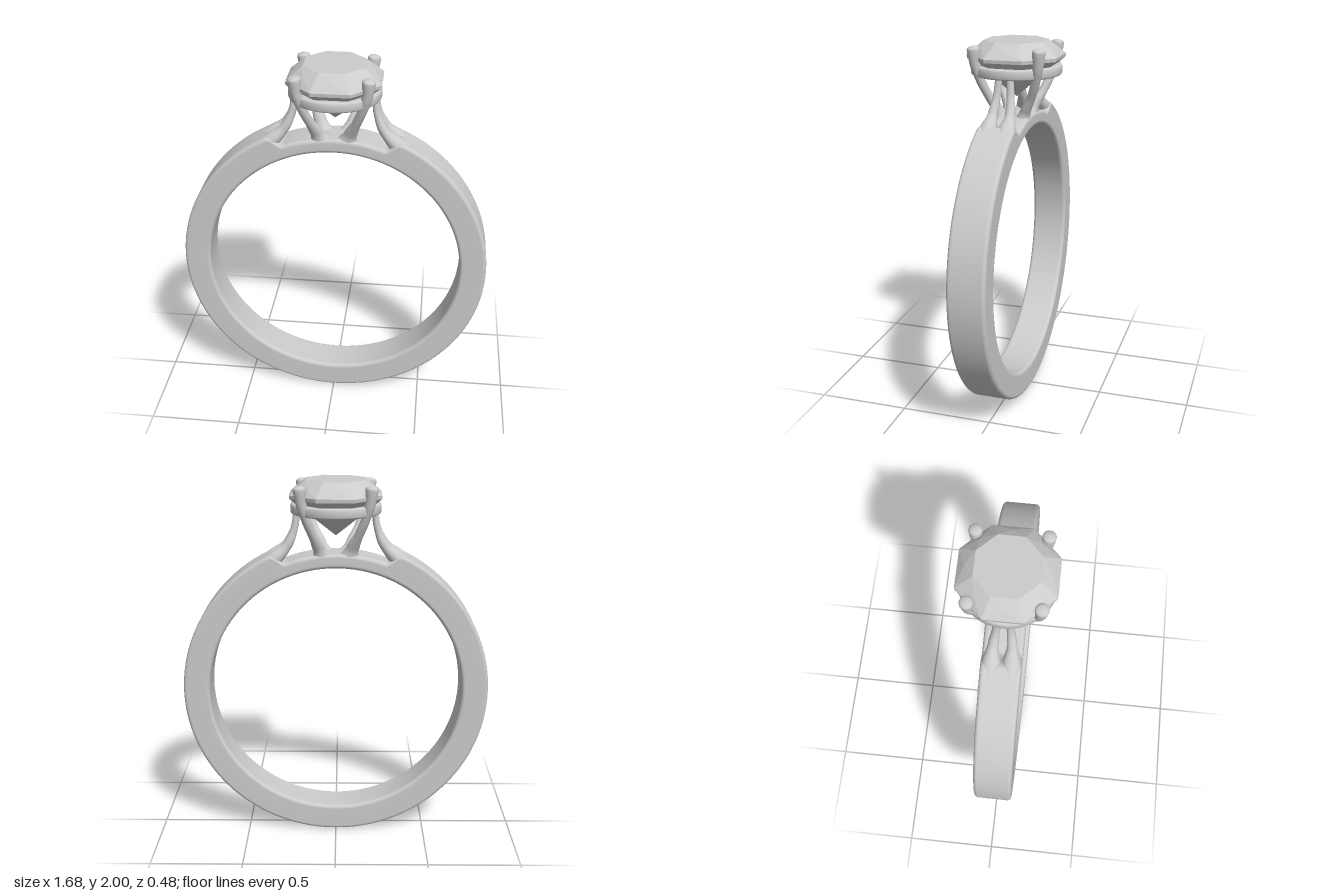
import * as THREE from 'three';
import { toCreasedNormals } from 'three/addons/utils/BufferGeometryUtils.js';
import { ConvexGeometry } from 'three/addons/geometries/ConvexGeometry.js';

const material = new THREE.MeshStandardMaterial({ color: 0xcccccc });
const CENTRE_Y = 0.844;

function addMesh(parent, name, geometry) {
  const mesh = new THREE.Mesh(geometry, material);
  mesh.name = name;
  parent.add(mesh);
  return mesh;
}

// Skin a row of equal-length rings, either closed into a loop or capped.
function loft(rings, closed) {
  const n = rings[0].length;
  const points = rings.flat();
  const index = [];
  const last = closed ? rings.length : rings.length - 1;
  for (let i = 0; i < last; i++) {
    const a = i * n, b = ((i + 1) % rings.length) * n;
    for (let j = 0; j < n; j++) {
      const k = (j + 1) % n;
      index.push(a + j, a + k, b + k, a + j, b + k, b + j);
    }
  }
  if (!closed) {
    const mid = ring => ring.reduce((s, p) => s.add(p), new THREE.Vector3()).divideScalar(n);
    const start = points.push(mid(rings[0])) - 1;
    const end = points.push(mid(rings[rings.length - 1])) - 1;
    const e = (rings.length - 1) * n;
    for (let j = 0; j < n; j++) {
      const k = (j + 1) % n;
      index.push(start, k, j, end, e + j, e + k);
    }
  }
  const geometry = new THREE.BufferGeometry().setFromPoints(points);
  geometry.setIndex(index);
  geometry.computeVertexNormals();
  return geometry;
}

// Sweep an ellipse along keys of [x, y, z, in-plane radius, z radius], with a domed tip.
function strut(keys) {
  const curve = new THREE.CatmullRomCurve3(keys.map(k => new THREE.Vector3(k[0], k[1], k[2])));
  const steps = 32, sides = 20, rings = [];
  const Z = new THREE.Vector3(0, 0, 1);
  const addRing = (u, scale, lift) => {
    const f = u * (keys.length - 1), i = Math.min(Math.floor(f), keys.length - 2);
    const s = THREE.MathUtils.smoothstep(f - i, 0, 1);
    const ra = THREE.MathUtils.lerp(keys[i][3], keys[i + 1][3], s);
    const rb = THREE.MathUtils.lerp(keys[i][4], keys[i + 1][4], s);
    const t = curve.getTangent(u);
    const U = Z.clone().cross(t).normalize(), V = t.clone().cross(U);
    const p = curve.getPoint(u).addScaledVector(t, lift * ra);
    const ring = [];
    for (let j = 0; j < sides; j++) {
      const a = j / sides * Math.PI * 2;
      ring.push(p.clone().addScaledVector(U, Math.cos(a) * ra * scale)
        .addScaledVector(V, Math.sin(a) * rb * scale));
    }
    rings.push(ring);
  };
  for (let i = 0; i <= steps; i++) addRing(i / steps, 1, 0);
  for (let k = 1; k <= 5; k++) {
    const a = k / 5 * 1.45;
    addRing(1, Math.cos(a), Math.sin(a) * 0.5);
  }
  return loft(rings, false);
}

// Band: rounded rectangle swept round the finger, thinner under the setting.
function bandGeometry() {
  const steps = 360, rings = [], inner = 0.695, halfWidth = 0.101, c = 0.02;
  for (let i = 0; i < steps; i++) {
    const angle = i / steps * Math.PI * 2;
    const fromTop = THREE.MathUtils.radToDeg(Math.min(angle, Math.PI * 2 - angle));
    const outer = THREE.MathUtils.lerp(0.772, 0.841, THREE.MathUtils.smoothstep(fromTop, 20.5, 25));
    const ring = [];
    const corners = [[outer - c, halfWidth - c, 0], [inner + c, halfWidth - c, 1],
      [inner + c, c - halfWidth, 2], [outer - c, c - halfWidth, 3]];
    for (const [r0, z0, quarter] of corners) {
      for (let k = 0; k <= 5; k++) {
        const a = (quarter + k / 5) * Math.PI / 2;
        const r = r0 + Math.cos(a) * c, z = z0 + Math.sin(a) * c;
        ring.push(new THREE.Vector3(Math.sin(angle) * r, CENTRE_Y + Math.cos(angle) * r, z));
      }
    }
    rings.push(ring);
  }
  return loft(rings, true);
}

// Faceted stone: octagonal table, star points, girdle and pointed pavilion.
function gemGeometry() {
  const points = [new THREE.Vector3(0, 1.7, 0)];
  const addRing = (radius, y, turn) => {
    for (let i = 0; i < 8; i++) {
      const a = (i + turn) * Math.PI / 4;
      points.push(new THREE.Vector3(Math.cos(a) * radius, y, Math.sin(a) * radius));
    }
  };
  addRing(0.17, 2.0, 0.5);
  addRing(0.205, 1.967, 0);
  addRing(0.262, 1.925, 0.5);
  addRing(0.26, 1.907, 0.5);
  return new ConvexGeometry(points);
}

export function createModel() {
  const model = new THREE.Group();
  model.name = 'ring';

  addMesh(model, 'band', bandGeometry());
  addMesh(model, 'gemstone', gemGeometry());

  // Round gallery under the stone
  const profile = [[0.2, 1.822], [0.232, 1.822], [0.238, 1.825], [0.241, 1.832], [0.241, 1.866],
    [0.238, 1.873], [0.232, 1.876], [0.2, 1.876], [0.2, 1.822]];
  addMesh(model, 'gallery', toCreasedNormals(
    new THREE.LatheGeometry(profile.map(p => new THREE.Vector2(...p)), 72), 0.9));

  // Four claws and two split shoulders, mirrored by their signs
  const claw = [[0.065, 1.57, 0.05, 0.065, 0.045], [0.088, 1.645, 0.078, 0.034, 0.027],
    [0.122, 1.725, 0.118, 0.024, 0.023], [0.155, 1.81, 0.15, 0.024, 0.024],
    [0.177, 1.89, 0.168, 0.028, 0.028], [0.185, 1.967, 0.174, 0.034, 0.034]];
  const shoulder = [[0.42, 1.52, 0.05, 0.045, 0.045], [0.335, 1.578, 0.05, 0.042, 0.048],
    [0.258, 1.655, 0.046, 0.026, 0.026], [0.22, 1.745, 0.036, 0.019, 0.02],
    [0.208, 1.835, 0.03, 0.016, 0.018]];
  for (const sx of [1, -1]) {
    for (const sz of [1, -1]) {
      const mirror = keys => keys.map(([x, y, z, a, b]) => [x * sx, y, z * sz, a, b]);
      const where = (sz > 0 ? 'front' : 'back') + (sx > 0 ? 'Left' : 'Right');
      addMesh(model, where + 'Claw', strut(mirror(claw)));
      addMesh(model, where + 'Shoulder', strut(mirror(shoulder)));
    }
  }
  return model;
}
